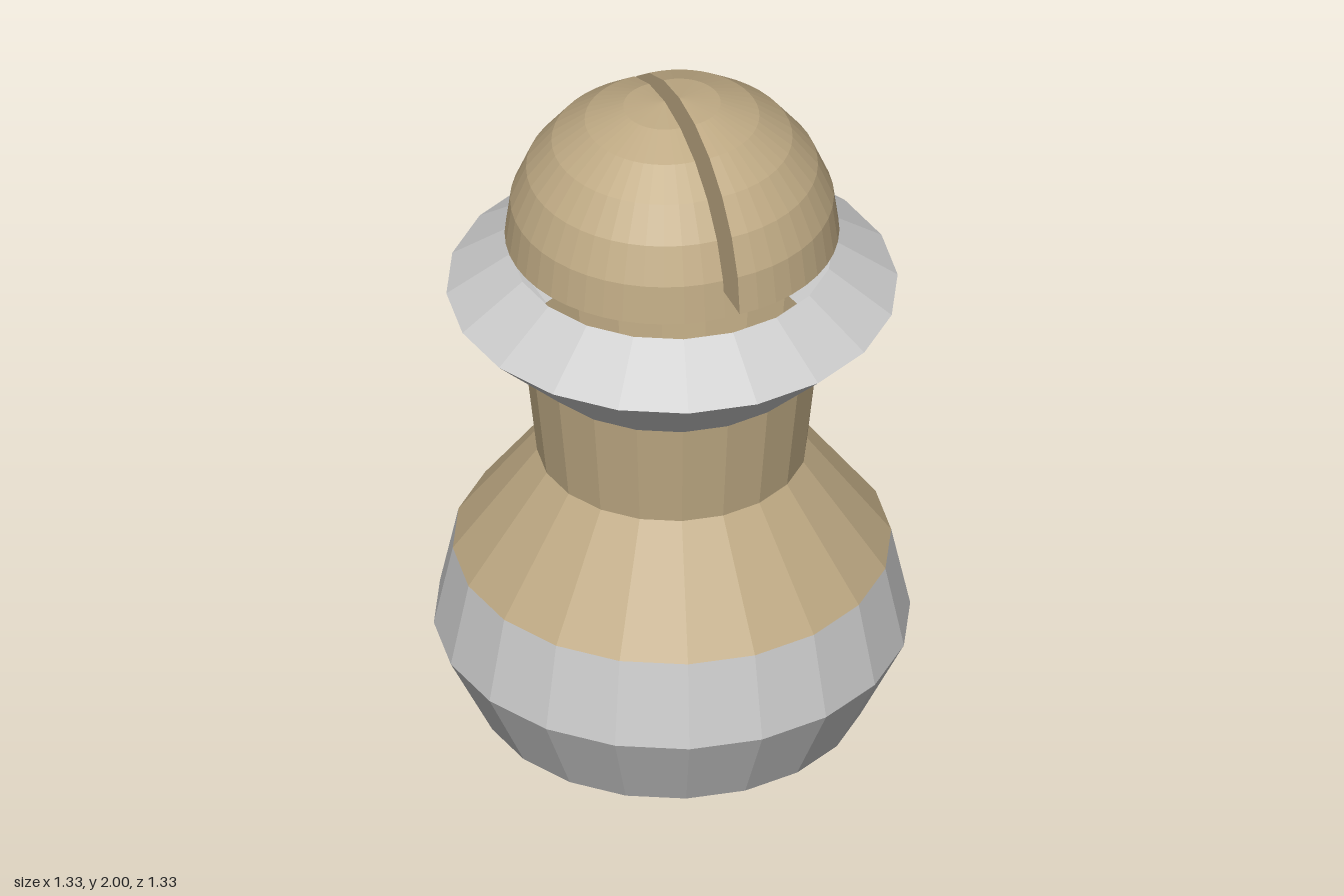
import * as THREE from 'three';
import { mergeGeometries } from 'three/addons/utils/BufferGeometryUtils.js';

const SIDES = 20;
const style = { flatShading: true, side: THREE.DoubleSide };
const grey = new THREE.MeshStandardMaterial({ color: 0xcccccc, ...style });
const tan = new THREE.MeshStandardMaterial({ color: 0xbfaa84, ...style });

// Faceted open shell turned from [radius, height] pairs, bottom to top
function turned(name, material, profile) {
  const points = profile.map(([r, y]) => new THREE.Vector2(r, y));
  const mesh = new THREE.Mesh(new THREE.LatheGeometry(points, SIDES), material);
  mesh.name = name;
  return mesh;
}

// Solid quarter sphere on the +x side: outer skin, slot wall and underside
function quarterSphere(radius) {
  const rings = 6, columns = 24;
  const arc = [];
  for (let i = 0; i <= rings; i++) {
    const a = (i / rings) * Math.PI / 2;
    arc.push(new THREE.Vector2(i === rings ? 0 : radius * Math.cos(a), radius * Math.sin(a)));
  }
  const skin = new THREE.LatheGeometry(arc, columns, 0, Math.PI);
  const wall = new THREE.CircleGeometry(radius, rings * 2, 0, Math.PI).rotateY(-Math.PI / 2);
  const underside = new THREE.CircleGeometry(radius, columns, -Math.PI / 2, Math.PI).rotateX(Math.PI / 2);
  return mergeGeometries([skin, wall, underside]);
}

export function createModel() {
  const model = new THREE.Group();
  model.name = 'bishopPiece';

  // Closed foot, then the open hollow body above it
  model.add(
    turned('base', grey, [[0, 0], [0.54, 0], [0.665, 0.255], [0.612, 0.507]]),
    turned('shoulder', tan, [[0.612, 0.507], [0.377, 0.83]]),
    turned('neck', tan, [[0.377, 0.83], [0.412, 1.157]]),
    turned('collar', grey, [[0.412, 1.157], [0.63, 1.373], [0.45, 1.5]]),
  );

  // Floating dome in two halves, parted by a slot
  const dome = new THREE.Group();
  dome.name = 'dome';
  const half = quarterSphere(0.446);
  for (const side of [1, -1]) {
    const mesh = new THREE.Mesh(half, tan);
    mesh.name = side > 0 ? 'leftDomeHalf' : 'rightDomeHalf';
    mesh.position.set(side * 0.022, 1.554, 0);
    if (side < 0) mesh.rotation.y = Math.PI;
    dome.add(mesh);
  }
  model.add(dome);
  return model;
}
